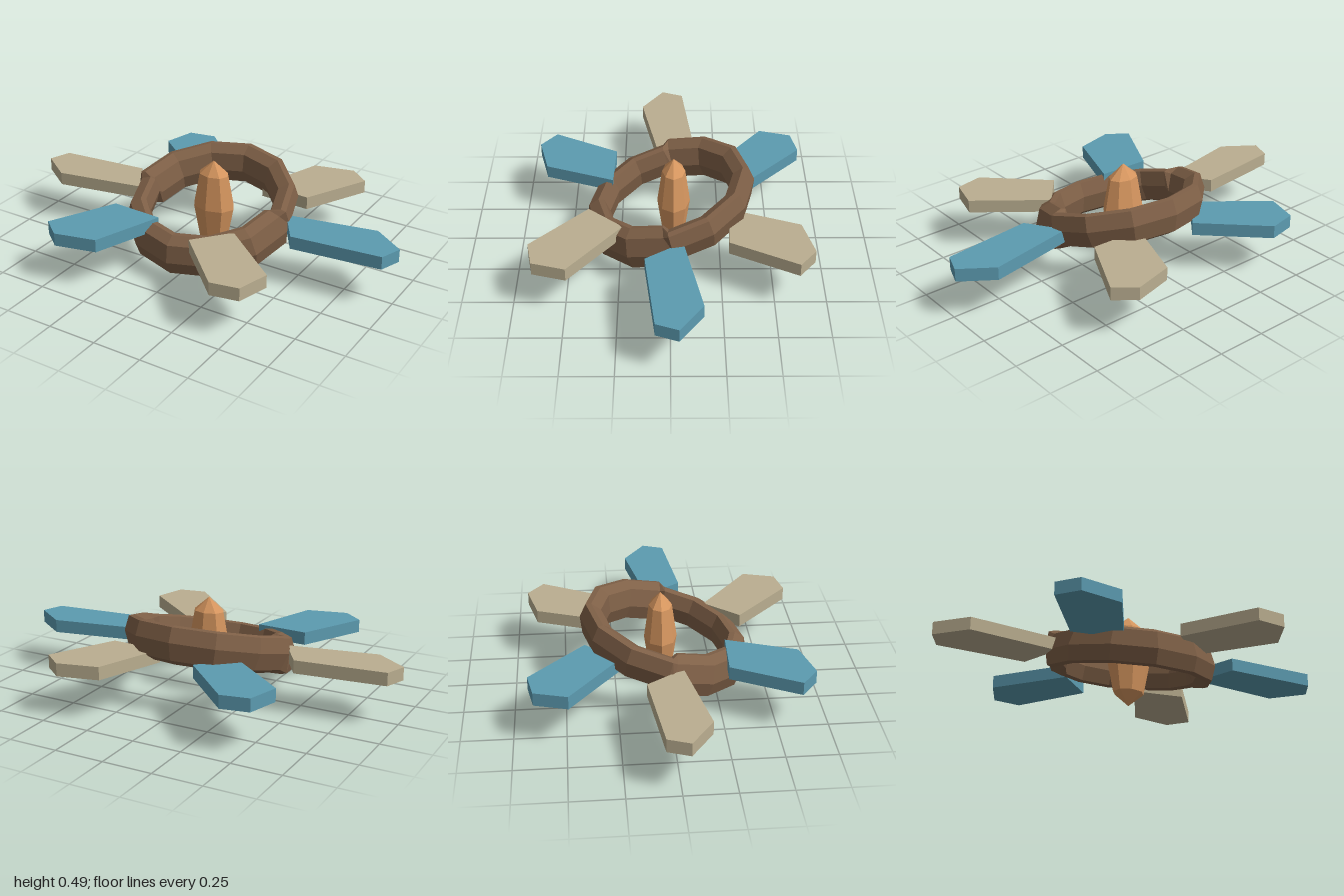
import * as THREE from 'three';

const material = (name, color) => {
  const m = new THREE.MeshStandardMaterial({ color, flatShading: true });
  m.name = name;
  return m;
};

// Tilted ring: two half hoops whose oval section leans opposite ways, joined at the sides
function ringGeometry(radius) {
  const a = [0.025, 0.095], b = [0.052, 0.087], c = [0.064, 0.012], d = [0.03, -0.073];
  const neg = ([u, v]) => [-u, -v];
  const flip = ([u, v]) => [u, -v];
  const back = [c, d, neg(a), neg(b), neg(c), neg(d), a, b];
  const front = [c, b, a, neg(d), neg(c), neg(b), neg(a), d].map(flip);
  const angles = [2, 30, 60, 90, 120, 150, 178];
  const stations = [
    ...angles.map((t) => [t, front]),
    ...angles.map((t) => [t + 180, back]),
  ];
  const pos = [], index = [];
  const n = stations.length, k = 8;
  stations.forEach(([deg, section], i) => {
    const t = THREE.MathUtils.degToRad(deg);
    section.forEach(([u, v], j) => {
      pos.push((radius + u) * Math.cos(t), v, (radius + u) * Math.sin(t));
      const p = i * k + j, q = ((i + 1) % n) * k + j;
      const p1 = i * k + (j + 1) % k, q1 = ((i + 1) % n) * k + (j + 1) % k;
      index.push(p, q, p1, q, q1, p1);
    });
  });
  const g = new THREE.BufferGeometry();
  g.setAttribute('position', new THREE.Float32BufferAttribute(pos, 3));
  g.setIndex(index);
  const flat = g.toNonIndexed();
  flat.computeVertexNormals();
  return flat;
}

export function createModel() {
  const model = new THREE.Group();
  const brown = material('brown wood', 0x7f6047);
  const copper = material('copper', 0xd6965f);
  const blue = material('blue', 0x5c9bb0);
  const beige = material('beige', 0xbaae90);
  const add = (name, geometry, mat) => {
    const mesh = new THREE.Mesh(geometry, mat);
    mesh.name = name;
    model.add(mesh);
    return mesh;
  };

  // Ring
  const ring = add('ring', ringGeometry(0.372), brown);
  ring.rotation.x = THREE.MathUtils.degToRad(15);
  ring.position.y = 0.245;

  // Faceted core in the middle
  const profile = [[0, 0], [0.08, 0.07], [0.114, 0.245], [0.08, 0.42], [0, 0.49]]
    .map(([x, y]) => new THREE.Vector2(x, y));
  const core = add('core', new THREE.LatheGeometry(profile, 8), copper);
  core.scale.z = 0.72;
  core.position.z = -0.018;

  // Six blades around a flattened circle, in alternating colours
  const outline = [[0.39, -0.08], [0.84, -0.195], [1, -0.05], [0.96, 0.09], [0.51, 0.156]]
    .map(([x, y]) => new THREE.Vector2(x, y));
  for (let i = 0; i < 6; i++) {
    const g = new THREE.ExtrudeGeometry(new THREE.Shape(outline), { depth: 0.066, bevelEnabled: false });
    g.rotateX(Math.PI / 2);
    g.rotateY(-i * Math.PI / 3);
    g.scale(1, 1, 0.77);
    g.translate(0, 0.276, 0);
    add('blade' + (i + 1), g, i % 2 ? beige : blue);
  }
  return model;
}
